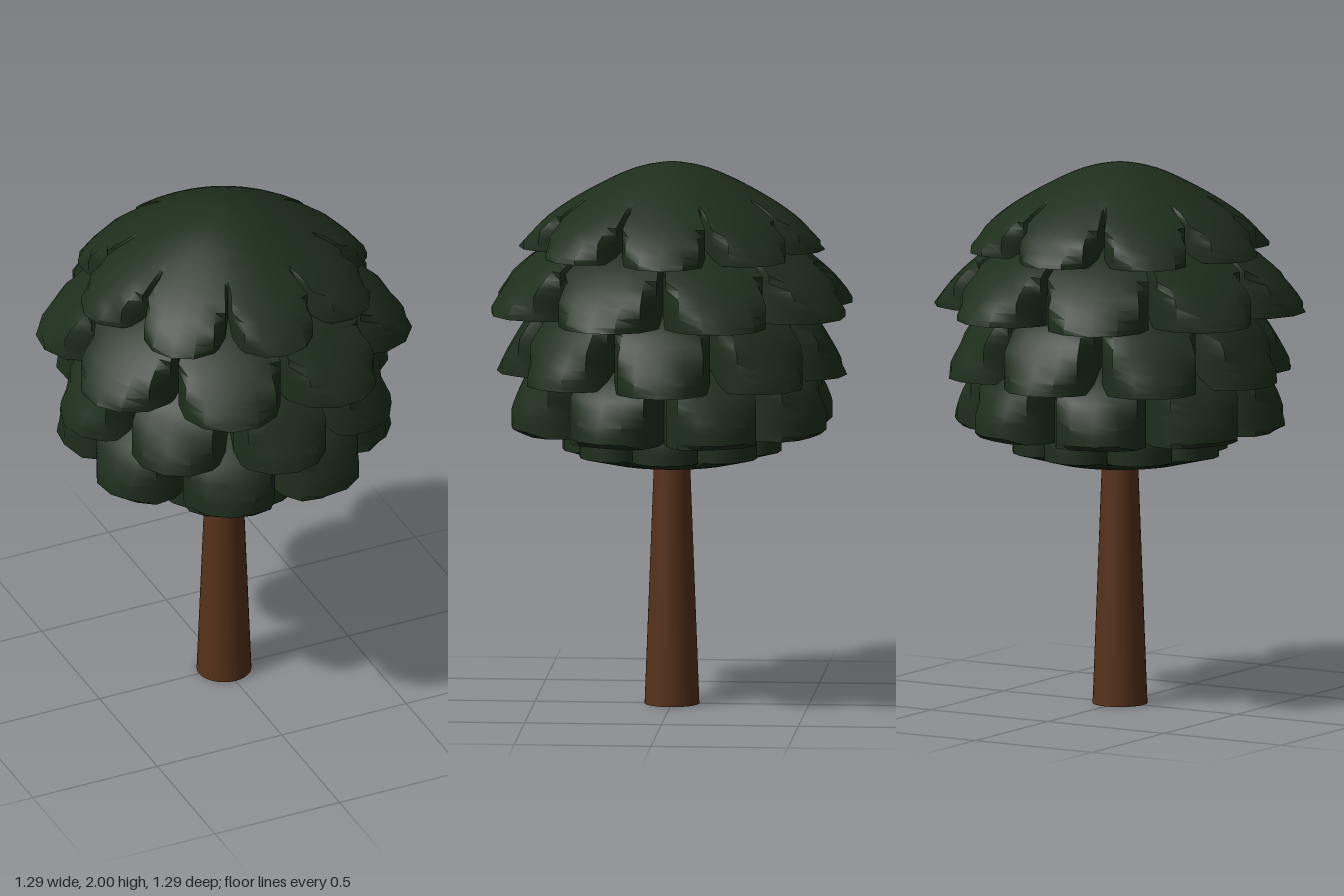
import * as THREE from 'three';
import { toCreasedNormals } from 'three/addons/utils/BufferGeometryUtils.js';

const LOBES = 8;
const STEP = (Math.PI * 2) / LOBES;
const HALF = 4; // samples on each side of a lobe's centre line

// One foliage tier: a dome profile trimmed by a scalloped outline of rounded lobes.
// dome: [radius, height] from apex to rim; under: underside points ending on the axis.
function tierGeometry({ tip, notch, dome, under, turned }) {
  const curve = new THREE.SplineCurve(dome.map(([r, y]) => new THREE.Vector2(r, y)));
  const profile = curve.getPoints(16).concat(under.map(([r, y]) => new THREE.Vector2(r, y)));
  const columns = LOBES * HALF * 2;
  const positions = [];
  const indices = [];

  for (let j = 0; j < columns; j++) {
    const k = (j % (HALF * 2)) - HALF;
    const s = Math.sin((k / HALF) * (Math.PI / 2)); // -1..1 across the lobe
    const lobe = Math.floor(j / (HALF * 2)) + (turned ? 0.5 : 0);
    const angle = (lobe + s / 2) * STEP;
    const limit = notch + (tip - notch) * Math.sqrt(Math.max(0, 1 - s * s));
    for (const p of profile) {
      const r = Math.max(0, Math.min(p.x, limit));
      positions.push(r * Math.sin(angle), p.y, r * Math.cos(angle));
    }
  }

  const rows = profile.length;
  for (let j = 0; j < columns; j++) {
    const next = (j + 1) % columns;
    for (let i = 0; i < rows - 1; i++) {
      const a = j * rows + i, b = a + 1;
      const d = next * rows + i, c = d + 1;
      if (i < rows - 2) indices.push(a, b, c);
      if (i > 0) indices.push(a, c, d);
    }
  }

  const geometry = new THREE.BufferGeometry();
  geometry.setAttribute('position', new THREE.Float32BufferAttribute(positions, 3));
  geometry.setIndex(indices);
  return toCreasedNormals(geometry, 0.75);
}

// Tiers from the top down; every second one is turned by half a lobe
const TIERS = [
  {
    tip: 0.56, notch: 0.34,
    dome: [[0, 2], [0.15, 1.965], [0.32, 1.88], [0.46, 1.785], [0.56, 1.68]],
    under: [[0.42, 1.69], [0, 1.7]],
  },
  {
    tip: 0.686, notch: 0.425,
    dome: [[0, 1.8], [0.28, 1.76], [0.45, 1.69], [0.59, 1.58], [0.686, 1.46]],
    under: [[0.52, 1.465], [0, 1.48]],
  },
  {
    tip: 0.64, notch: 0.4,
    dome: [[0, 1.59], [0.3, 1.56], [0.49, 1.46], [0.585, 1.33], [0.64, 1.22]],
    under: [[0.5, 1.23], [0, 1.25]],
  },
  {
    tip: 0.61, notch: 0.39,
    dome: [[0, 1.36], [0.35, 1.33], [0.53, 1.22], [0.595, 1.1], [0.61, 1.04]],
    under: [[0.57, 1.02], [0, 1.03]],
  },
  {
    tip: 0.4, notch: 0.3,
    dome: [[0, 1.15], [0.25, 1.13], [0.36, 1.07], [0.395, 1.0], [0.4, 0.935]],
    under: [[0.25, 0.9], [0, 0.905]],
  },
];

export function createModel() {
  const tree = new THREE.Group();
  tree.name = 'tree';
  const leafMaterial = new THREE.MeshStandardMaterial({ color: 0x1e2e1c });
  const barkMaterial = new THREE.MeshStandardMaterial({ color: 0x55311a });

  // Tapered trunk running up into the crown
  const trunk = new THREE.Mesh(new THREE.CylinderGeometry(0.058, 0.1, 1.1, 32), barkMaterial);
  trunk.name = 'trunk';
  trunk.position.y = 0.55;
  tree.add(trunk);

  // Crown of overlapping scalloped tiers
  const crown = new THREE.Group();
  crown.name = 'crown';
  TIERS.forEach((tier, i) => {
    const mesh = new THREE.Mesh(tierGeometry({ ...tier, turned: i % 2 === 1 }), leafMaterial);
    mesh.name = `foliageTier${i + 1}`;
    crown.add(mesh);
  });
  tree.add(crown);
  return tree;
}
